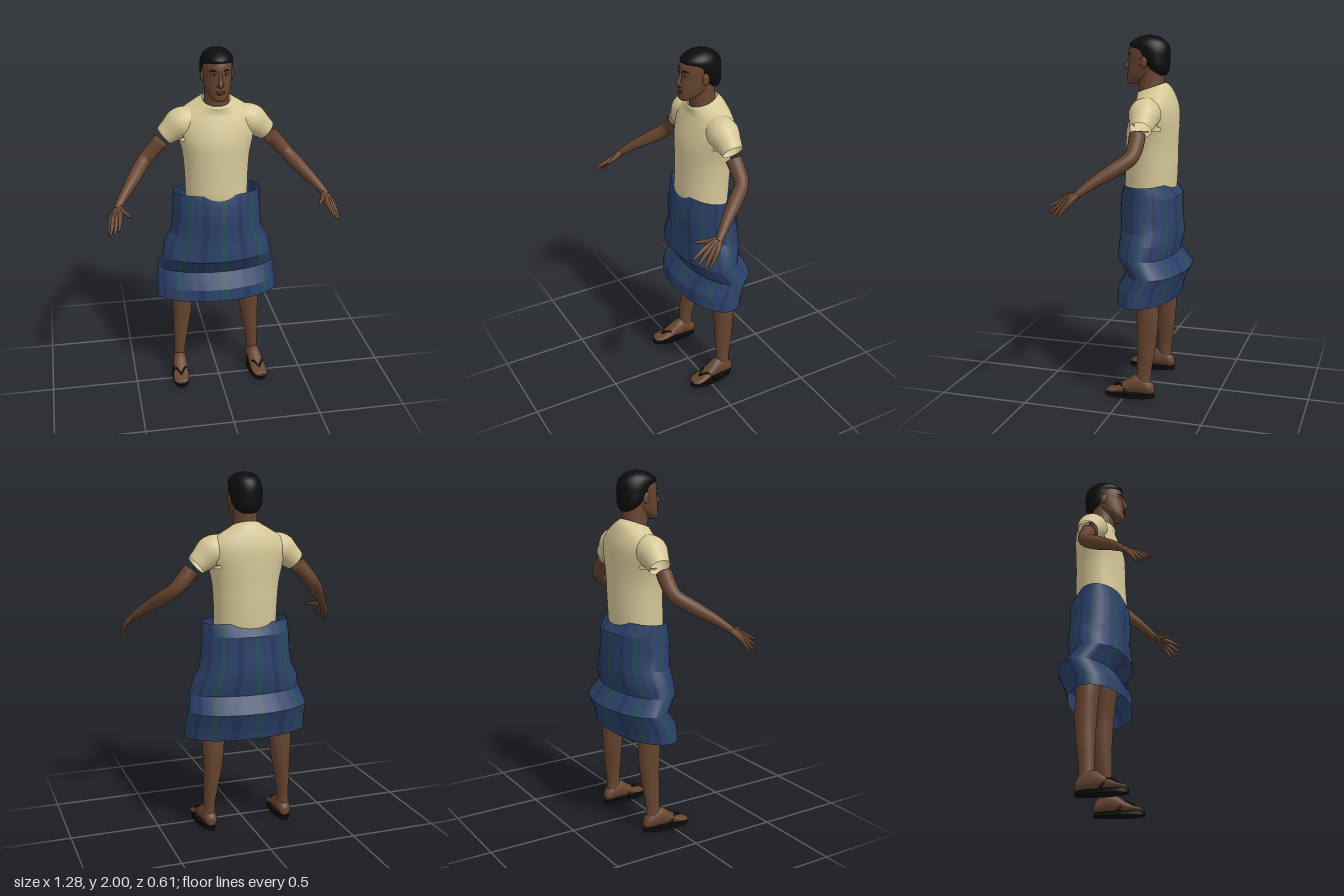
import * as THREE from 'three';
import { toCreasedNormals } from 'three/addons/utils/BufferGeometryUtils.js';

const mat = (name, color, side = THREE.FrontSide) => {
  const m = new THREE.MeshStandardMaterial({ color, side });
  m.name = name;
  return m;
};

// Catmull-Rom resampling of rows of numbers
function smooth(rows, n) {
  const out = [], last = rows.length - 1;
  for (let i = 0; i < last; i++) {
    const [a, b, c, d] = [rows[Math.max(i - 1, 0)], rows[i], rows[i + 1], rows[Math.min(i + 2, last)]];
    for (let k = 0; k < n; k++) {
      const t = k / n;
      out.push(b.map((v, q) => v + 0.5 * t * (c[q] - a[q] + t * (2 * a[q] - 5 * v + 4 * c[q] - d[q]
        + t * (3 * (v - c[q]) + d[q] - a[q])))));
    }
  }
  out.push(rows[last]);
  return out;
}

// Skin a list of closed rings; skip(point) leaves holes, column(j) picks a material slot
function skin(rings, { caps = true, skip, column } = {}) {
  const seg = rings[0].length;
  if (caps) {
    const centre = (r) => {
      const c = r.reduce((s, p) => s.add(p), new THREE.Vector3()).divideScalar(seg);
      return r.map(() => c);
    };
    rings = [centre(rings[0]), ...rings, centre(rings[rings.length - 1])];
  }
  const index = [], geo = new THREE.BufferGeometry().setFromPoints(rings.flat());
  for (let j = 0; j < seg; j++) {
    const start = index.length, k = (j + 1) % seg;
    for (let i = 0; i < rings.length - 1; i++) {
      if (skip && skip(rings[i][j])) continue;
      const a = i * seg + j, b = i * seg + k;
      index.push(a, b, a + seg, b, b + seg, a + seg);
    }
    if (column) geo.addGroup(start, index.length - start, column(j));
  }
  geo.setIndex(index);
  geo.computeVertexNormals();
  return geo;
}

// Upright loft; rows are [y, halfWidth, zFront, zBack, tilt, x]
function loft(rows, { seg = 32, n = 4, ...opts } = {}) {
  const rings = (n > 1 ? smooth(rows, n) : rows).map(([y, rx, zf, zb, tilt = 0, cx = 0]) =>
    Array.from({ length: seg }, (_, j) => {
      const a = (j / seg) * Math.PI * 2, z = Math.cos(a) * (zf - zb) / 2;
      return new THREE.Vector3(cx + rx * Math.sin(a), y + tilt * z, (zf + zb) / 2 + z);
    }));
  return skin(rings, opts);
}

// Tapered tube; rows are [x, y, z, radius]
function limb(rows, s = 1, { seg = 14, n = 5, ...opts } = {}) {
  const pts = smooth(rows, n).map(([x, y, z, r]) => ({ p: new THREE.Vector3(x * s, y, z), r }));
  const rings = pts.map(({ p, r }, i) => {
    const t = pts[Math.min(i + 1, pts.length - 1)].p.clone().sub(pts[Math.max(i - 1, 0)].p).normalize();
    const u = new THREE.Vector3(0, 0, 1).cross(t).normalize(), v = t.clone().cross(u);
    return Array.from({ length: seg }, (_, j) => {
      const a = (j / seg) * Math.PI * 2;
      return p.clone().addScaledVector(u, r * Math.cos(a)).addScaledVector(v, r * Math.sin(a));
    });
  });
  return skin(rings, opts);
}

export function createModel() {
  const model = new THREE.Group();
  const skinMat = mat('skin', 0x65442f), lip = mat('lips', 0x553029), black = mat('black', 0x0c0c0c);
  const white = mat('eye white', 0x9a9088);
  const cream = mat('cream cloth', 0xd5c797, THREE.DoubleSide);
  const plaid = [mat('blue cloth', 0x2b4069, THREE.DoubleSide),
    mat('green stripe', 0x274b5a, THREE.DoubleSide), mat('navy stripe', 0x263860, THREE.DoubleSide)];
  const add = (name, geo, material, parent = model) => {
    const m = new THREE.Mesh(geo, material);
    m.name = name;
    parent.add(m);
    return m;
  };
  const ball = (name, material, pos, size) => {
    const m = add(name, new THREE.SphereGeometry(1, 20, 14), material);
    m.position.set(...pos);
    m.scale.set(...size);
    return m;
  };

  // Head and neck
  add('neck', loft([[1.62, 0.085, -0.02, -0.17], [1.7, 0.07, -0.015, -0.158],
    [1.76, 0.064, -0.01, -0.155], [1.83, 0.064, -0.01, -0.155]]), skinMat);
  add('head', loft([[1.733, 0.022, 0.043, 0.005], [1.745, 0.042, 0.054, -0.03], [1.775, 0.062, 0.053, -0.09],
    [1.82, 0.073, 0.05, -0.14], [1.86, 0.078, 0.044, -0.16], [1.9, 0.08, 0.047, -0.168],
    [1.94, 0.078, 0.035, -0.165], [1.97, 0.06, 0.005, -0.14]]), skinMat);
  add('nose', limb([[0, 1.885, 0.042, 0.007], [0, 1.85, 0.053, 0.01], [0, 1.826, 0.058, 0.014],
    [0, 1.813, 0.05, 0.008]]), skinMat);
  ball('upperLip', lip, [0, 1.788, 0.05], [0.024, 0.006, 0.008]);
  ball('lowerLip', lip, [0, 1.778, 0.049], [0.021, 0.007, 0.008]);

  // Hair, with the face showing in front of its lower sections
  add('hair', loft([[1.785, 0.035, -0.115, -0.165], [1.81, 0.07, -0.08, -0.178], [1.84, 0.083, -0.045, -0.183],
    [1.88, 0.088, -0.005, -0.186], [1.915, 0.089, 0.012, -0.186], [1.945, 0.086, 0.041, -0.179],
    [1.97, 0.074, 0.02, -0.16], [1.99, 0.047, -0.02, -0.125], [2.0, 0.008, -0.065, -0.085]]), black);

  // Torso of the shirt, open at waist, neck and sleeve holes
  const hole = (p) => Math.abs(p.x) > 0.16 && p.y > 1.49 && p.y < 1.61 && Math.abs(p.z + 0.1) < 0.065;
  add('shirt', loft([[1.13, 0.176, 0.058, -0.222, 0], [1.2, 0.177, 0.061, -0.228, 0], [1.3, 0.18, 0.056, -0.232, 0],
    [1.4, 0.188, 0.054, -0.233, 0], [1.48, 0.205, 0.05, -0.235, 0], [1.55, 0.225, 0.032, -0.235, 0],
    [1.61, 0.225, 0.01, -0.23, 0], [1.655, 0.19, -0.004, -0.215, -0.1], [1.69, 0.13, -0.006, -0.195, -0.25],
    [1.708, 0.093, -0.004, -0.175, -0.33], [1.718, 0.077, -0.01, -0.165, -0.35]],
  { seg: 48, caps: false, skip: hole }), cream);

  // Wrapped plaid skirt with a folded lower band
  const skirt = loft([[0.55, 0.357, 0.085, -0.25], [0.62, 0.352, 0.08, -0.267], [0.71, 0.345, 0.025, -0.307],
    [0.8, 0.32, 0.085, -0.24], [0.88, 0.302, 0.08, -0.262], [0.94, 0.268, 0.073, -0.265],
    [1.02, 0.256, 0.08, -0.258], [1.13, 0.25, 0.075, -0.257], [1.195, 0.248, 0.05, -0.207]],
  { seg: 48, n: 1, caps: false, column: (j) => (j % 6 === 0 ? 1 : j % 6 === 3 ? 2 : 0) });
  add('skirt', toCreasedNormals(skirt, 0.35), plaid);

  for (const s of [1, -1]) {
    const side = s > 0 ? 'left' : 'right';
    // Face details
    ball(side + 'Ear', skinMat, [s * 0.081, 1.855, -0.06], [0.01, 0.032, 0.02]);
    ball(side + 'Eye', white, [s * 0.033, 1.88, 0.034], [0.013, 0.006, 0.006]);
    ball(side + 'Pupil', black, [s * 0.033, 1.88, 0.038], [0.006, 0.006, 0.004]);
    ball(side + 'Nostril', skinMat, [s * 0.012, 1.822, 0.05], [0.009, 0.008, 0.011]);
    add(side + 'Brow', limb([[0.016, 1.895, 0.044, 0.002], [0.034, 1.901, 0.037, 0.004],
      [0.052, 1.895, 0.022, 0.002]], s, { seg: 8 }), black);

    // Sleeve
    add(side + 'Sleeve', limb([[0.13, 1.6, -0.1, 0.075], [0.195, 1.583, -0.1, 0.087], [0.25, 1.543, -0.103, 0.069],
      [0.286, 1.513, -0.105, 0.058]], s, { seg: 28, caps: false }), cream);

    // Arm and hand
    const arm = new THREE.Group();
    arm.name = side + 'Arm';
    model.add(arm);
    add('arm', limb([[0.31, 1.488, -0.095, 0.044], [0.36, 1.43, -0.098, 0.042], [0.408, 1.378, -0.085, 0.038],
      [0.46, 1.325, -0.015, 0.038], [0.52, 1.268, 0.07, 0.029], [0.568, 1.217, 0.135, 0.021],
      [0.578, 1.203, 0.155, 0.018]], s, { seg: 20 }), skinMat, arm);
    const fingers = [
      [[0.567, 1.18, 0.22], [0.583, 1.14, 0.302]], [[0.585, 1.172, 0.212], [0.605, 1.115, 0.285]],
      [[0.602, 1.165, 0.2], [0.625, 1.097, 0.26]], [[0.615, 1.16, 0.185], [0.632, 1.092, 0.233]],
      [[0.548, 1.2, 0.185], [0.512, 1.193, 0.252]]];
    for (const [knuckle, tip] of fingers) {
      add('finger', limb([[0.57, 1.215, 0.137, 0.016], [...knuckle, 0.014], [...tip, 0.006]], s, { seg: 10 }),
        skinMat, arm);
    }

    // Leg and foot
    add(side + 'Leg', loft([[0.07, 0.036, -0.065, -0.15, 0, s * 0.226], [0.15, 0.033, -0.068, -0.15, 0, s * 0.224],
      [0.25, 0.042, -0.066, -0.165, 0, s * 0.216], [0.37, 0.053, -0.064, -0.178, 0, s * 0.206],
      [0.47, 0.06, -0.058, -0.182, 0, s * 0.202], [0.56, 0.066, -0.052, -0.178, 0, s * 0.197],
      [0.7, 0.076, -0.03, -0.185, 0, s * 0.175], [0.9, 0.085, -0.01, -0.19, 0, s * 0.135]]), skinMat);
    add(side + 'Foot', loft([[-0.166, 0.018, -0.03, -0.07, 0, s * 0.224], [-0.15, 0.033, -0.02, -0.095, 0, s * 0.225],
      [-0.11, 0.039, -0.02, -0.125, 0, s * 0.227], [-0.06, 0.041, -0.02, -0.13, 0, s * 0.229],
      [0, 0.044, -0.02, -0.09, 0, s * 0.233], [0.05, 0.047, -0.02, -0.06, 0, s * 0.238],
      [0.09, 0.042, -0.02, -0.046, 0, s * 0.241], [0.107, 0.026, -0.022, -0.037, 0, s * 0.241]])
      .rotateX(Math.PI / 2), skinMat);

    // Sandal: sole narrowed at the heel, and a forked strap
    const sole = new THREE.CylinderGeometry(1, 1, 0.022, 36);
    const pos = sole.attributes.position;
    for (let i = 0; i < pos.count; i++) {
      const z = pos.getZ(i);
      pos.setXYZ(i, pos.getX(i) * (0.049 + 0.006 * z) + s * (0.233 + 0.008 * z), pos.getY(i) + 0.011, z * 0.142 - 0.027);
    }
    sole.computeVertexNormals();
    add(side + 'Sole', sole, black);
    for (const d of [-1, 1]) {
      add(side + 'Strap', limb([[0.239, 0.058, 0.06, 0.005], [0.236 + d * 0.028, 0.076, 0.015, 0.006],
        [0.232 + d * 0.046, 0.025, -0.025, 0.006]], s, { seg: 8 }), black);
    }
  }
  return model;
}
